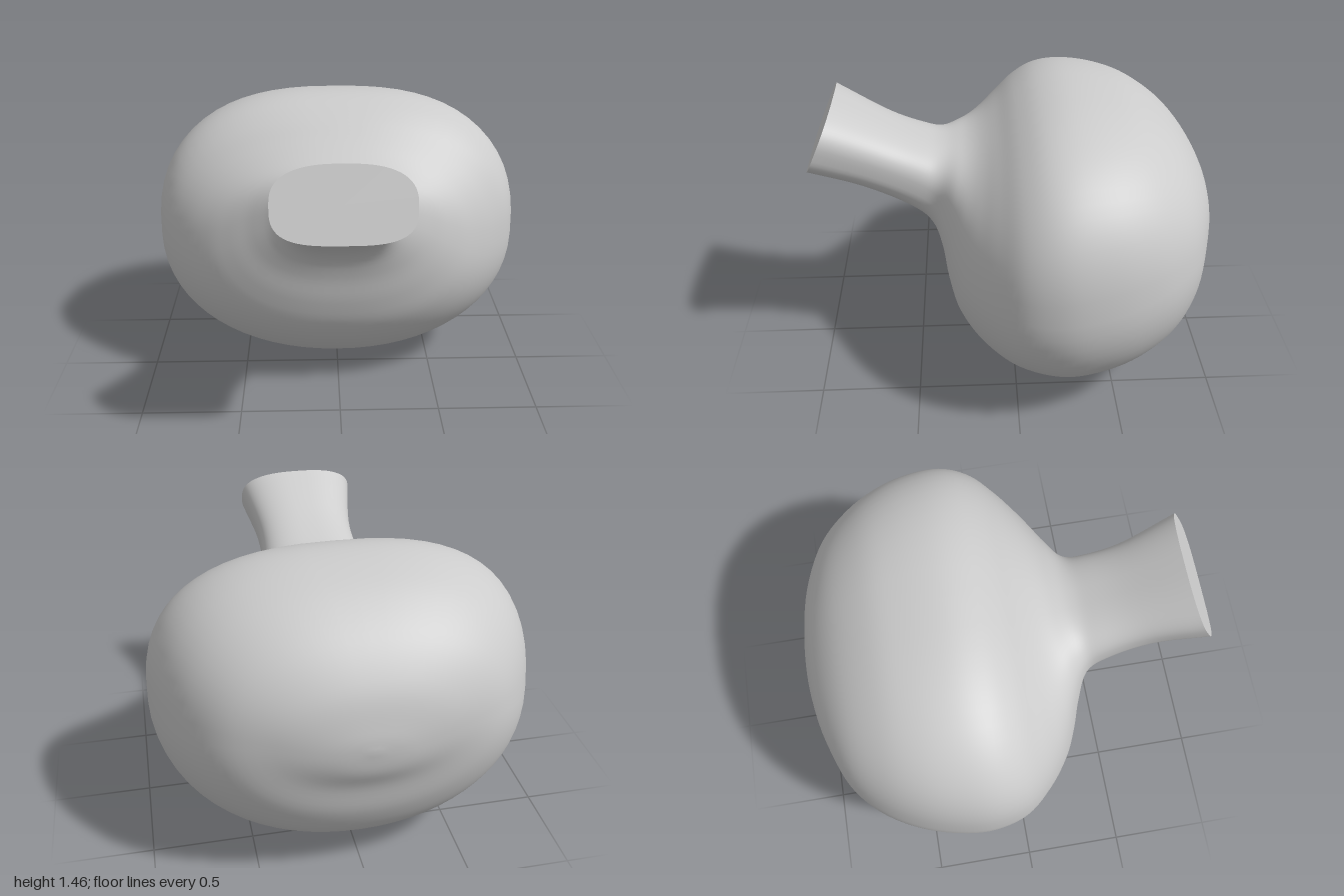
import * as THREE from 'three';
import { mergeVertices } from 'three/addons/utils/BufferGeometryUtils.js';

// Tilted sections from the back of the body to the mouth of the neck:
// [top z, top y, bottom z, bottom y, half width, squareness above, squareness below]
const SECTIONS = [
  [-1.0, 0.82, -1.0, 0.82, 0, 2.2, 2.1],
  [-0.985, 0.92, -0.985, 0.7, 0.19, 2.2, 2.1],
  [-0.93, 1.09, -0.94, 0.58, 0.42, 2.3, 2.1],
  [-0.8, 1.26, -0.9, 0.4, 0.63, 2.4, 2.1],
  [-0.62, 1.385, -0.8, 0.22, 0.78, 2.5, 2.1],
  [-0.45, 1.44, -0.62, 0.085, 0.88, 2.6, 2.1],
  [-0.27, 1.46, -0.42, 0.015, 0.935, 2.6, 2.1],
  [-0.13, 1.435, -0.22, 0.003, 0.945, 2.6, 2.1],
  [-0.02, 1.375, 0.0, 0.07, 0.9, 2.5, 2.1],
  [0.07, 1.3, 0.17, 0.2, 0.79, 2.4, 2.2],
  [0.14, 1.25, 0.29, 0.36, 0.66, 2.3, 2.3],
  [0.2, 1.22, 0.34, 0.52, 0.54, 2.3, 2.3],
  [0.26, 1.205, 0.365, 0.68, 0.42, 2.4, 2.4],
  [0.34, 1.2, 0.41, 0.8, 0.3, 2.5, 2.6],
  [0.43, 1.22, 0.52, 0.9, 0.265, 2.6, 2.8],
  [0.6, 1.29, 0.75, 1.02, 0.26, 2.6, 3],
  [0.86, 1.435, 1.0, 1.125, 0.31, 2.6, 3.2],
];
const SIDES = 64;
const RINGS = 80;

function curveOf(a, b, c) {
  const points = SECTIONS.map((s) => new THREE.Vector3(s[a], s[b], s[c]));
  return new THREE.CatmullRomCurve3(points, false, 'catmullrom', 0.5);
}

const topCurve = curveOf(0, 1, 4);
const bottomCurve = curveOf(2, 3, 4);
const squareness = curveOf(5, 6, 4);

// One closed superellipse ring spanning the top and bottom outlines
function ring(t) {
  const top = topCurve.getPoint(t);
  const bottom = bottomCurve.getPoint(t);
  const power = squareness.getPoint(t);
  const points = [];
  for (let i = 0; i < SIDES; i++) {
    const angle = (i / SIDES) * Math.PI * 2;
    const c = Math.cos(angle);
    const s = Math.sin(angle);
    const e = 2 / (s >= 0 ? power.x : power.y);
    const x = Math.sign(c) * Math.abs(c) ** e * Math.max(0, top.z);
    const k = 0.5 + 0.5 * Math.sign(s) * Math.abs(s) ** e;
    points.push(new THREE.Vector3(
      x,
      bottom.y + (top.y - bottom.y) * k,
      bottom.x + (top.x - bottom.x) * k,
    ));
  }
  return points;
}

function build(points, index) {
  const geometry = new THREE.BufferGeometry().setFromPoints(points);
  geometry.setIndex(index);
  const merged = mergeVertices(geometry, 1e-5);
  merged.computeVertexNormals();
  return merged;
}

export function createModel() {
  const group = new THREE.Group();
  const material = new THREE.MeshStandardMaterial({ color: 0xcccccc, side: THREE.DoubleSide });

  // Rounded body flowing into the raised neck
  const points = [];
  const index = [];
  for (let r = 0; r <= RINGS; r++) points.push(...ring(r / RINGS));
  for (let r = 0; r < RINGS; r++) {
    for (let i = 0; i < SIDES; i++) {
      const j = (i + 1) % SIDES;
      const a = r * SIDES + i;
      const b = r * SIDES + j;
      if (r > 0) index.push(a, b, a + SIDES);
      index.push(b, b + SIDES, a + SIDES);
    }
  }
  const body = new THREE.Mesh(build(points, index), material);
  body.name = 'bodyAndNeck';
  group.add(body);

  // Flat face closing the mouth of the neck
  const rim = ring(1);
  const centre = rim[SIDES / 4].clone().lerp(rim[(SIDES * 3) / 4], 0.5);
  const capIndex = [];
  for (let i = 0; i < SIDES; i++) capIndex.push(SIDES, i, (i + 1) % SIDES);
  const cap = new THREE.Mesh(build([...rim, centre], capIndex), material);
  cap.name = 'neckEnd';
  group.add(cap);

  return group;
}
